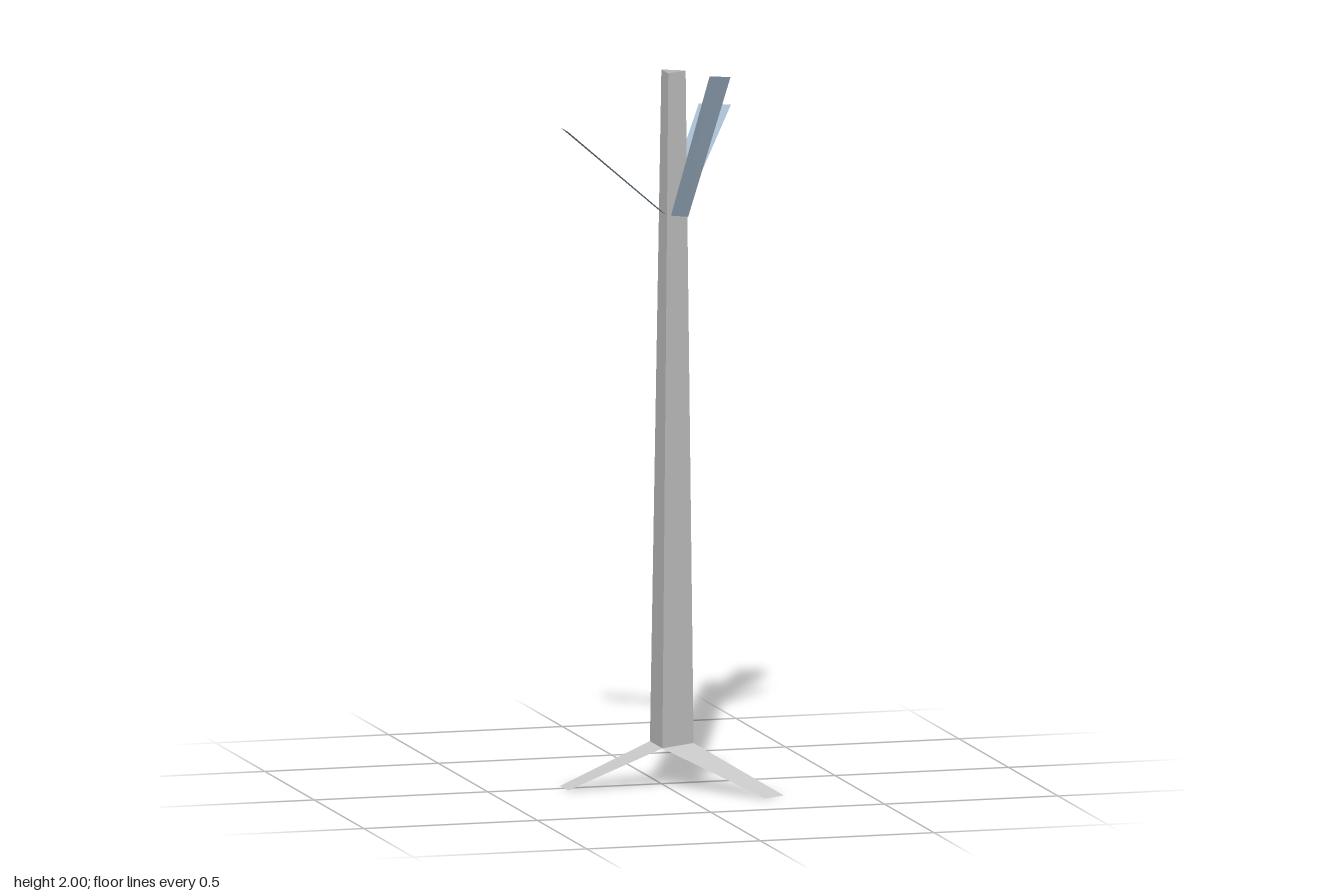
import * as THREE from 'three';

const grey = new THREE.MeshStandardMaterial({ color: 0xcccccc, flatShading: true, side: THREE.DoubleSide });
const blue = new THREE.MeshStandardMaterial({ color: 0xa0b4c8, flatShading: true, side: THREE.DoubleSide });

// Mesh from a convex outline of [x, y, z] corners, counter-clockwise from outside
function panel(name, corners, material) {
  const geometry = new THREE.BufferGeometry();
  geometry.setAttribute('position', new THREE.Float32BufferAttribute(corners.flat(), 3));
  geometry.setIndex(corners.length === 4 ? [0, 1, 2, 0, 2, 3] : [0, 1, 2]);
  geometry.computeVertexNormals();
  const mesh = new THREE.Mesh(geometry, material);
  mesh.name = name;
  return mesh;
}

export function createModel() {
  const model = new THREE.Group();
  model.name = 'tree';

  // Three-sided tapering trunk, open at the top and closed at the bottom
  const bottom = [[-0.015, 0.11, 0.063], [-0.015, 0.11, -0.063], [0.093, 0.11, 0]];
  const top = [[0.01, 2, 0.035], [0.01, 2, -0.035], [0.07, 2, 0]];
  const trunk = new THREE.Group();
  trunk.name = 'trunk';
  for (let i = 0; i < 3; i++) {
    const j = (i + 1) % 3;
    trunk.add(panel('trunkSide', [bottom[j], bottom[i], top[i], top[j]], grey));
  }
  trunk.add(panel('trunkFloor', [...bottom].reverse(), grey));
  model.add(trunk);

  // Flat roots spreading from each bottom edge of the trunk down to the ground
  const feet = [
    [[-0.28, 0, -0.04], [-0.28, 0, 0.04]],
    [[0.272, 0, -0.283], [0.208, 0, -0.32]],
    [[0.208, 0, 0.32], [0.272, 0, 0.283]],
  ];
  ['rootRight', 'rootBack', 'rootFront'].forEach((name, i) => {
    model.add(panel(name, [bottom[i], bottom[(i + 1) % 3], ...feet[i]], grey));
  });

  // Flat branches rising from the trunk faces
  const branches = {
    branchRight: [[0.008, 1.6, 0.031], [0.008, 1.6, -0.031], [-0.28, 1.85, -0.04], [-0.28, 1.85, 0.04]],
    branchBack: [[0.014, 1.61, -0.034], [0.07, 1.61, -0.003], [0.28, 1.85, -0.278], [0.2, 1.85, -0.322]],
    branchFront: [[0.075, 1.59, 0.008], [0.018, 1.6, 0.034], [0.107, 2, 0.112], [0.175, 1.99, 0.085]],
  };
  for (const [name, corners] of Object.entries(branches)) model.add(panel(name, corners, blue));

  return model;
}
